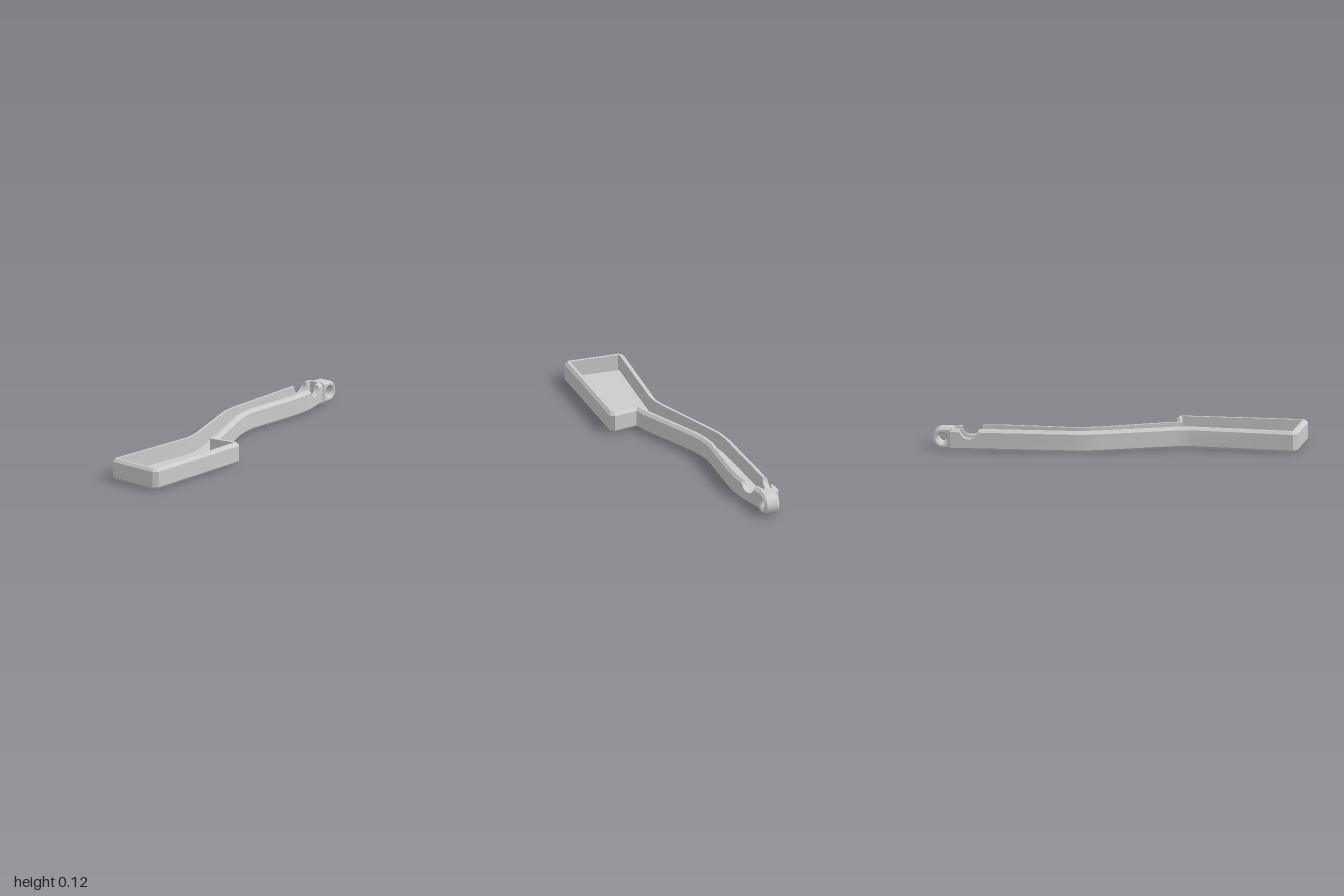
import * as THREE from 'three';
import { mergeGeometries, toCreasedNormals } from 'three/addons/utils/BufferGeometryUtils.js';

const H = 0.117, BEVEL = 0.015, WALL = 0.03, FLOOR = 0.025;
const NOTCH = { x: 0.792, r: 0.053 };

// Plan outline [x, z]: along the front to the tip, back along the rear
const OUTLINE = [
  [-1, 0.24], [-0.978, 0.262], [-0.3, 0.262], [-0.278, 0.238], [-0.3, 0.105],
  [-0.24, 0.085], [0.1, -0.065], [0.17, -0.087], [0.25, -0.1], [0.58, -0.09],
  [0.66, -0.094], [0.735, -0.104], [0.885, -0.148], [0.91, -0.165], [0.91, -0.235],
  [0.895, -0.263], [0.74, -0.257], [0.22, -0.238], [0.15, -0.228], [0.08, -0.206],
  [-0.3, -0.064], [-0.35, -0.05], [-0.4, -0.043], [-0.96, -0.078], [-0.984, -0.056],
];

// Insert extra stations where the round notch crosses the walls
function addNotchStations(points) {
  const xs = [];
  for (let i = 0; i <= 16; i++) xs.push(NOTCH.x - NOTCH.r * Math.cos(Math.PI * i / 16));
  const out = [];
  points.forEach((p, i) => {
    const q = points[(i + 1) % points.length];
    out.push(p);
    const list = q[0] > p[0] ? xs : [...xs].reverse();
    for (const x of list) {
      const t = (x - p[0]) / (q[0] - p[0]);
      if (t > 0.001 && t < 0.999) out.push([x, p[1] + (q[1] - p[1]) * t]);
    }
  });
  return out;
}

// Move the outline inward by d with mitred corners
function inset(points, d) {
  const n = points.length;
  const normal = (a, b) => {
    const dx = b[0] - a[0], dz = b[1] - a[1], l = Math.hypot(dx, dz);
    return [dz / l, -dx / l];
  };
  return points.map((p, i) => {
    const a = normal(points[(i + n - 1) % n], p);
    const b = normal(p, points[(i + 1) % n]);
    const k = d / (1 + a[0] * b[0] + a[1] * b[1]);
    return [p[0] + (a[0] + b[0]) * k, p[1] + (a[1] + b[1]) * k];
  });
}

// Wall height, lowered inside the notch
function rimHeight(x) {
  const s = NOTCH.r ** 2 - (x - NOTCH.x) ** 2;
  return s > 0 ? H - Math.sqrt(s) : H;
}

function trayGeometry() {
  const base = addNotchStations(OUTLINE);
  const low = inset(base, BEVEL), inner = inset(base, WALL);
  const n = base.length;
  // Wall section at each station, from the underside over the rim to the floor
  const rows = base.map((p, i) => {
    const h = rimHeight(p[0]);
    const t = Math.max(0, h - (H - BEVEL)) / BEVEL;
    const top = [p[0] + (low[i][0] - p[0]) * t, p[1] + (low[i][1] - p[1]) * t];
    return [
      [low[i], 0], [p, BEVEL], [p, Math.min(h, H - BEVEL)],
      [top, h], [inner[i], h], [inner[i], FLOOR],
    ].map(([q, y]) => [q[0], y, q[1]]);
  });
  const pos = [];
  for (let i = 0; i < n; i++) {
    const a = rows[i], b = rows[(i + 1) % n];
    for (let k = 0; k < a.length - 1; k++) {
      pos.push(...a[k], ...b[k], ...b[k + 1], ...a[k], ...b[k + 1], ...a[k + 1]);
    }
  }
  const walls = new THREE.BufferGeometry();
  walls.setAttribute('position', new THREE.Float32BufferAttribute(pos, 3));
  walls.computeVertexNormals();

  // Flat caps: tray floor and underside
  const cap = (points, sign, y) => {
    const shape = new THREE.Shape(points.map(([x, z]) => new THREE.Vector2(x, sign * z)));
    const g = new THREE.ShapeGeometry(shape).rotateX(sign * Math.PI / 2).translate(0, y, 0);
    g.deleteAttribute('uv');
    return g.toNonIndexed();
  };
  return toCreasedNormals(mergeGeometries([walls, cap(inner, -1, FLOOR), cap(low, 1, 0)]), 0.3);
}

// Rounded hinge lug with a chamfered cross hole
function lugGeometry() {
  const cx = 0.942, cy = H / 2, bevel = 0.012, r = H / 2 - bevel;
  const shape = new THREE.Shape();
  shape.moveTo(0.9, cy - r);
  shape.lineTo(cx, cy - r);
  shape.absarc(cx, cy, r, -Math.PI / 2, Math.PI / 2, false);
  shape.lineTo(0.9, cy + r);
  shape.closePath();
  const hole = new THREE.Path();
  hole.absarc(cx, cy, 0.037, 0, Math.PI * 2, true);
  shape.holes.push(hole);
  const g = new THREE.ExtrudeGeometry(shape, {
    depth: 0.062, bevelEnabled: true, bevelSize: bevel, bevelThickness: bevel,
    bevelSegments: 1, curveSegments: 24,
  });
  return toCreasedNormals(g.translate(0, 0, -0.22), 0.5);
}

export function createModel() {
  const group = new THREE.Group();
  const material = new THREE.MeshStandardMaterial({ color: 0xcccccc });
  const add = (name, geometry) => {
    const mesh = new THREE.Mesh(geometry, material);
    mesh.name = name;
    group.add(mesh);
  };
  add('trayArm', trayGeometry());
  add('hingeLug', lugGeometry());
  return group;
}
